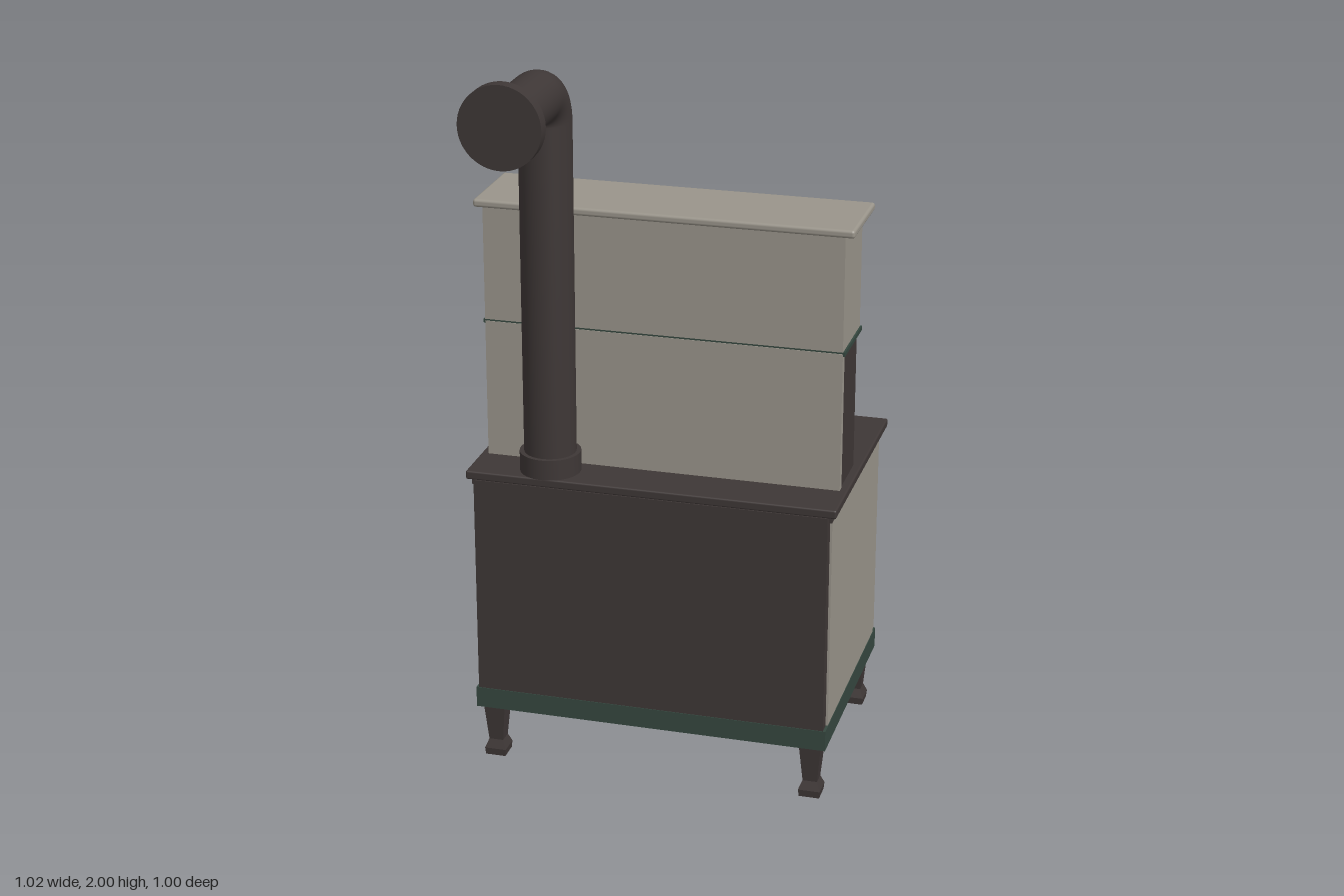
import * as THREE from 'three';
import { RoundedBoxGeometry } from 'three/addons/geometries/RoundedBoxGeometry.js';

const mat = (name, color, flatShading = false) => {
  const m = new THREE.MeshStandardMaterial({ color, flatShading });
  m.name = name;
  return m;
};

export function createModel() {
  const model = new THREE.Group();
  const cream = mat('cream enamel', 0x99948a);
  const iron = mat('dark iron', 0x3e3736);
  const ironFlat = iron;
  const green = mat('dark green enamel', 0x35473f);
  const steel = mat('pale metal', 0x96917f);

  const add = (name, geo, material, x = 0, y = 0, z = 0) => {
    const m = new THREE.Mesh(geo, material);
    m.name = name;
    m.position.set(x, y, z);
    model.add(m);
    return m;
  };
  // box from its lower and upper corners
  const box = (name, material, x0, x1, y0, y1, z0, z1, r = 0) => {
    const s = [x1 - x0, y1 - y0, z1 - z0];
    const geo = r ? new RoundedBoxGeometry(...s, 3, r) : new THREE.BoxGeometry(...s);
    return add(name, geo, material, (x0 + x1) / 2, (y0 + y1) / 2, (z0 + z1) / 2);
  };
  // rectangular ring in the xy plane, reaching from z back to z - depth
  const frame = (name, material, x0, x1, y0, y1, w, z, depth) => {
    const rect = (P, a, b, c, d) =>
      new P([[a, c], [b, c], [b, d], [a, d]].map(p => new THREE.Vector2(...p)));
    const s = rect(THREE.Shape, x0, x1, y0, y1);
    s.holes.push(rect(THREE.Path, x0 + w, x1 - w, y0 + w, y1 - w));
    add(name, new THREE.ExtrudeGeometry(s, { depth, bevelEnabled: false }), material, 0, 0, z - depth);
  };
  // cylinder whose axis runs along z or x
  const rod = (name, material, r0, r1, len, x, y, z, axis = 'z', seg = 24) => {
    const g = new THREE.CylinderGeometry(r0, r1, len, seg);
    if (axis === 'z') g.rotateX(-Math.PI / 2); else g.rotateZ(Math.PI / 2);
    return add(name, g, material, x, y, z);
  };
  // knob: slim stem flaring to a round head, pointing to -z
  const knob = (name, x, y, z) => {
    const pts = [[0, 0], [0.011, 0], [0.006, 0.012], [0.007, 0.02], [0.012, 0.025], [0.012, 0.031], [0, 0.034]];
    const g = new THREE.LatheGeometry(pts.map(p => new THREE.Vector2(...p)), 20);
    g.rotateX(-Math.PI / 2);
    add(name, g, steel, x, y, z);
  };
  // framed door: green border, cream panel and a thin inset moulding
  const door = (name, x0, x1, y0, y1, z, w) => {
    frame(name + 'Border', green, x0, x1, y0, y1, w, z, 0.011);
    box(name + 'Backing', green, x0 + w, x1 - w, y0 + w, y1 - w, z - 0.003, z);
    const i = w + 0.006;
    box(name + 'Panel', cream, x0 + i, x1 - i, y0 + i, y1 - i, z - 0.009, z);
    frame(name + 'Moulding', cream, x0 + i, x1 - i, y0 + i, y1 - i, 0.01, z - 0.009, 0.004);
  };

  // legs: square tapered posts on a flared foot
  const legProfile = [[0, 0], [0.028, 0], [0.03, 0.02], [0.02, 0.045], [0.03, 0.155], [0, 0.155]]
    .map(([r, y]) => new THREE.Vector2(r * Math.SQRT2, y));
  const legGeo = new THREE.LatheGeometry(legProfile, 4, Math.PI / 4).toNonIndexed();
  legGeo.computeVertexNormals();
  for (const x of [-0.445, 0.445]) for (const z of [0.172, -0.392]) add('leg', legGeo, ironFlat, x, 0, z);

  // body
  box('plinth', green, -0.49, 0.49, 0.155, 0.213, -0.44, 0.217);
  box('body', iron, -0.483, 0.483, 0.213, 0.83, -0.433, 0.215);
  box('bodyLip', iron, -0.492, 0.492, 0.812, 0.83, -0.44, 0.2);
  box('cooktop', iron, -0.505, 0.505, 0.83, 0.854, -0.457, 0.215, 0.005);
  for (const s of [-1, 1])
    box('sidePanel', cream, s * 0.485 - 0.004, s * 0.485 + 0.004, 0.215, 0.81, -0.41, 0.183);
  box('frontPlate', cream, -0.485, 0.485, 0.213, 0.812, -0.442, -0.43);
  add('hotplate', new THREE.CylinderGeometry(0.132, 0.132, 0.008, 48), iron, 0.287, 0.854, -0.185);
  box('cooktopSeam', iron, 0.06, 0.063, 0.85, 0.8555, -0.45, -0.1);

  // doors and centre post
  const fz = -0.442;
  box('centrePost', green, 0.075, 0.105, 0.213, 0.812, fz - 0.008, fz);
  door('ovenDoor', -0.465, 0.068, 0.225, 0.77, fz, 0.024);
  door('fireDoor', 0.145, 0.45, 0.53, 0.75, fz, 0.03);
  door('ashDoor', 0.163, 0.433, 0.235, 0.42, fz, 0.03);

  // fire door vent with a ring of holes
  rod('ventDisc', cream, 0.048, 0.05, 0.006, 0.295, 0.635, fz - 0.011);
  const rim = new THREE.TorusGeometry(0.049, 0.003, 8, 36);
  add('ventRim', rim, iron, 0.295, 0.635, fz - 0.012);
  for (let i = 0; i < 6; i++) {
    const a = i * Math.PI / 3;
    rod('ventHole', iron, 0.011, 0.011, 0.002, 0.295 + 0.029 * Math.cos(a), 0.635 + 0.029 * Math.sin(a), fz - 0.0145, 'z', 16);
  }
  rod('ventHub', steel, 0.006, 0.008, 0.012, 0.295, 0.635, fz - 0.019);
  knob('fireDoorLatch', 0.197, 0.7, fz - 0.012);
  knob('ashDoorKnob', 0.297, 0.33, fz - 0.009);

  // oven thermometer
  rod('gaugeFace', cream, 0.052, 0.054, 0.008, -0.195, 0.555, fz - 0.012);
  add('gaugeRim', new THREE.TorusGeometry(0.053, 0.003, 8, 40), iron, -0.195, 0.555, fz - 0.013);
  box('gaugeNeedle', iron, -0.198, -0.192, 0.555, 0.595, fz - 0.018, fz - 0.015);

  // oven handle and towel rail
  rod('ovenHandle', steel, 0.008, 0.008, 0.38, -0.195, 0.71, -0.482, 'x');
  for (const x of [-0.377, -0.013]) rod('ovenHandleMount', steel, 0.006, 0.006, 0.036, x, 0.71, -0.465);
  rod('towelRail', steel, 0.008, 0.008, 0.955, 0, 0.787, -0.495, 'x');
  for (const x of [-0.455, 0.455]) rod('towelRailMount', steel, 0.007, 0.007, 0.055, x, 0.787, -0.468);

  // backsplash, brackets and warming cabinet
  box('backsplash', cream, -0.485, 0.485, 0.854, 1.235, 0.06, 0.082);
  for (const s of [-1, 1])
    box('cabinetBracket', iron, s * 0.468 - 0.015, s * 0.468 + 0.015, 0.854, 1.23, -0.1, 0.06);
  box('cabinetBase', green, -0.49, 0.49, 1.228, 1.24, -0.133, 0.08);
  box('cabinet', cream, -0.485, 0.485, 1.24, 1.552, -0.127, 0.082);
  box('cabinetLid', cream, -0.51, 0.51, 1.55, 1.572, -0.167, 0.09, 0.008);
  for (const s of [-1, 1]) {
    const x = s * 0.242;
    door('cabinetDoor', x - 0.227, x + 0.227, 1.275, 1.515, -0.127, 0.02);
    knob('cabinetKnob', x, 1.395, -0.134);
  }

  // stove pipe: riser, elbow, outlet and wall flange
  const px = -0.29, pz = 0.14, R = 0.08, top = 1.893;
  add('pipeCollar', new THREE.CylinderGeometry(0.082, 0.082, 0.056, 40), iron, px, 0.882, pz);
  const path = new THREE.CurvePath();
  const v = (y, z) => new THREE.Vector3(px, y, z);
  const k = R * 0.4477;
  path.add(new THREE.LineCurve3(v(0.855, pz), v(top - R, pz)));
  path.add(new THREE.CubicBezierCurve3(v(top - R, pz), v(top - k, pz), v(top, pz + k), v(top, pz + R)));
  path.add(new THREE.LineCurve3(v(top, pz + R), v(top, 0.48)));
  add('stovePipe', new THREE.TubeGeometry(path, 140, 0.07, 40), iron);
  rod('pipeFlange', iron, 0.108, 0.108, 0.036, px, 1.892, 0.482, 'z', 48);

  return model;
}
